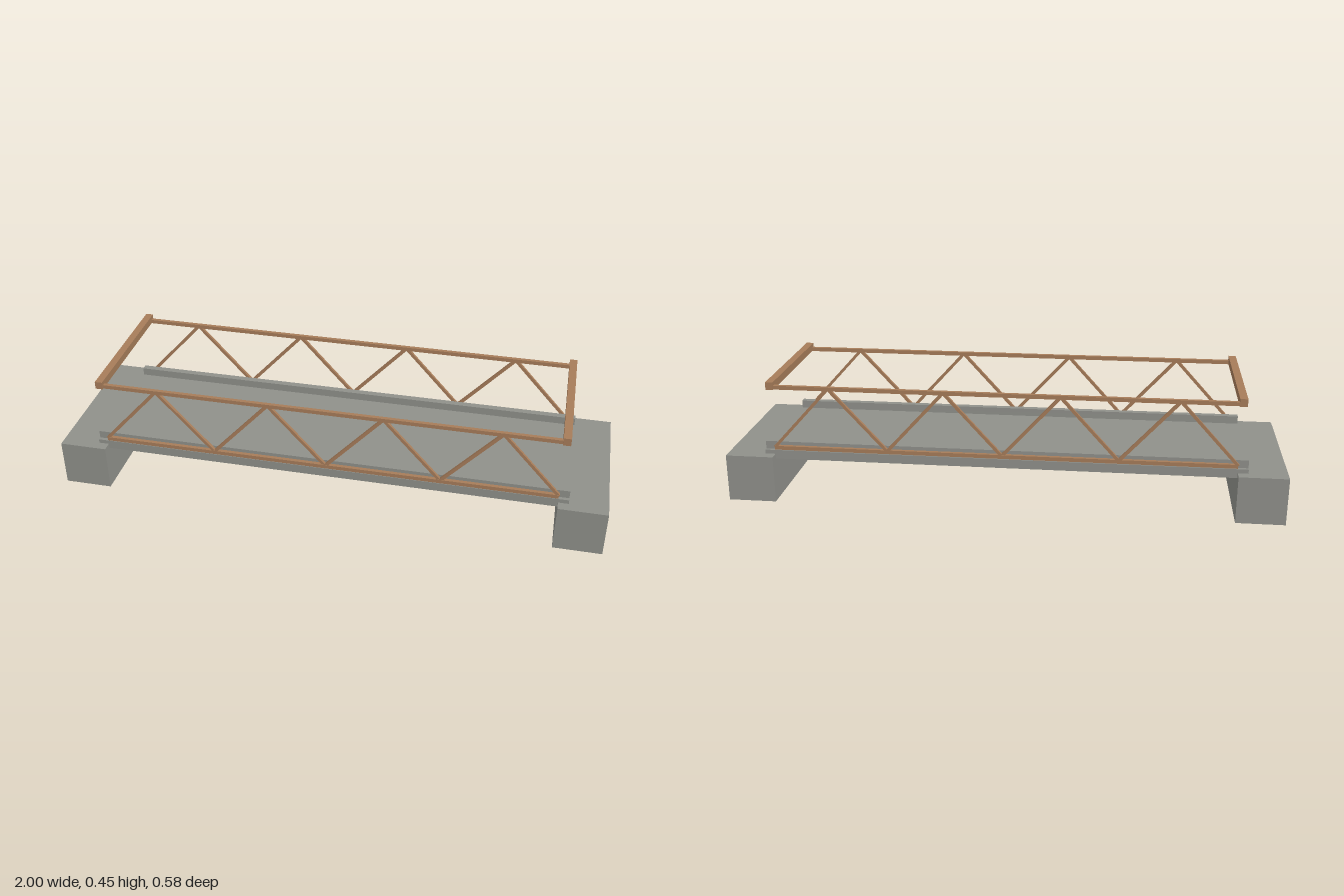
import * as THREE from 'three';

export function createModel() {
  const bridge = new THREE.Group();
  bridge.name = 'trussBridge';

  const concrete = new THREE.MeshStandardMaterial({ color: 0x8f908a });
  concrete.name = 'concrete grey';
  const timber = new THREE.MeshStandardMaterial({ color: 0xa67c59 });
  timber.name = 'timber brown';

  // Box given by its lower and upper limits on each axis
  function box(name, material, [x0, x1], [y0, y1], [z0, z1], parent = bridge) {
    const mesh = new THREE.Mesh(new THREE.BoxGeometry(x1 - x0, y1 - y0, z1 - z0), material);
    mesh.position.set((x0 + x1) / 2, (y0 + y1) / 2, (z0 + z1) / 2);
    mesh.name = name;
    parent.add(mesh);
    return mesh;
  }

  // Abutments at both ends
  box('rightAbutment', concrete, [-1, -0.826], [0, 0.173], [-0.289, 0.289]);
  box('leftAbutment', concrete, [0.826, 1], [0, 0.173], [-0.289, 0.289]);

  // Deck: one cross-section with outer ledges, curbs, gutters and raised roadway
  const half = [
    [0.253, 0.155], [0.253, 0.188], [0.24, 0.188], [0.24, 0.217],
    [0.216, 0.217], [0.216, 0.188], [0.202, 0.188], [0.202, 0.192],
  ];
  const section = [...half, ...half.map(([z, y]) => [-z, y]).reverse()];
  const deckLength = 1.726;
  const deckGeometry = new THREE.ExtrudeGeometry(
    new THREE.Shape(section.map(([z, y]) => new THREE.Vector2(z, y))),
    { depth: deckLength, bevelEnabled: false });
  deckGeometry.translate(0, 0, -deckLength / 2).rotateY(Math.PI / 2);
  const deck = new THREE.Mesh(deckGeometry, concrete);
  deck.name = 'deck';
  bridge.add(deck);

  // Side trusses: chords and zigzag diagonals
  const span = 0.826, bottomY = 0.199, topY = 0.426, panels = 8;
  for (const side of [1, -1]) {
    const truss = new THREE.Group();
    truss.name = side > 0 ? 'frontTruss' : 'backTruss';
    truss.position.z = side * 0.2465;
    bridge.add(truss);

    box('bottomChord', timber, [-span, span], [0.19, 0.204], [-0.0068, 0.0068], truss);
    box('topChord', timber, [-span, span], [0.419, 0.433], [-0.0068, 0.0068], truss);

    for (let i = 0; i < panels; i++) {
      const x0 = -span + (2 * span * i) / panels;
      const dx = (2 * span) / panels;
      const dy = (i % 2 === 0 ? 1 : -1) * (topY - bottomY);
      const diagonal = new THREE.Mesh(
        new THREE.BoxGeometry(Math.hypot(dx, dy), 0.011, 0.011), timber);
      diagonal.position.set(x0 + dx / 2, (bottomY + topY) / 2, 0);
      diagonal.rotation.z = Math.atan2(dy, dx);
      diagonal.name = 'diagonal';
      truss.add(diagonal);
    }
  }

  // Portal beams joining the top chords
  box('rightPortalBeam', timber, [-0.842, -0.815], [0.419, 0.447], [-0.26, 0.26]);
  box('leftPortalBeam', timber, [0.815, 0.842], [0.419, 0.447], [-0.26, 0.26]);

  return bridge;
}
